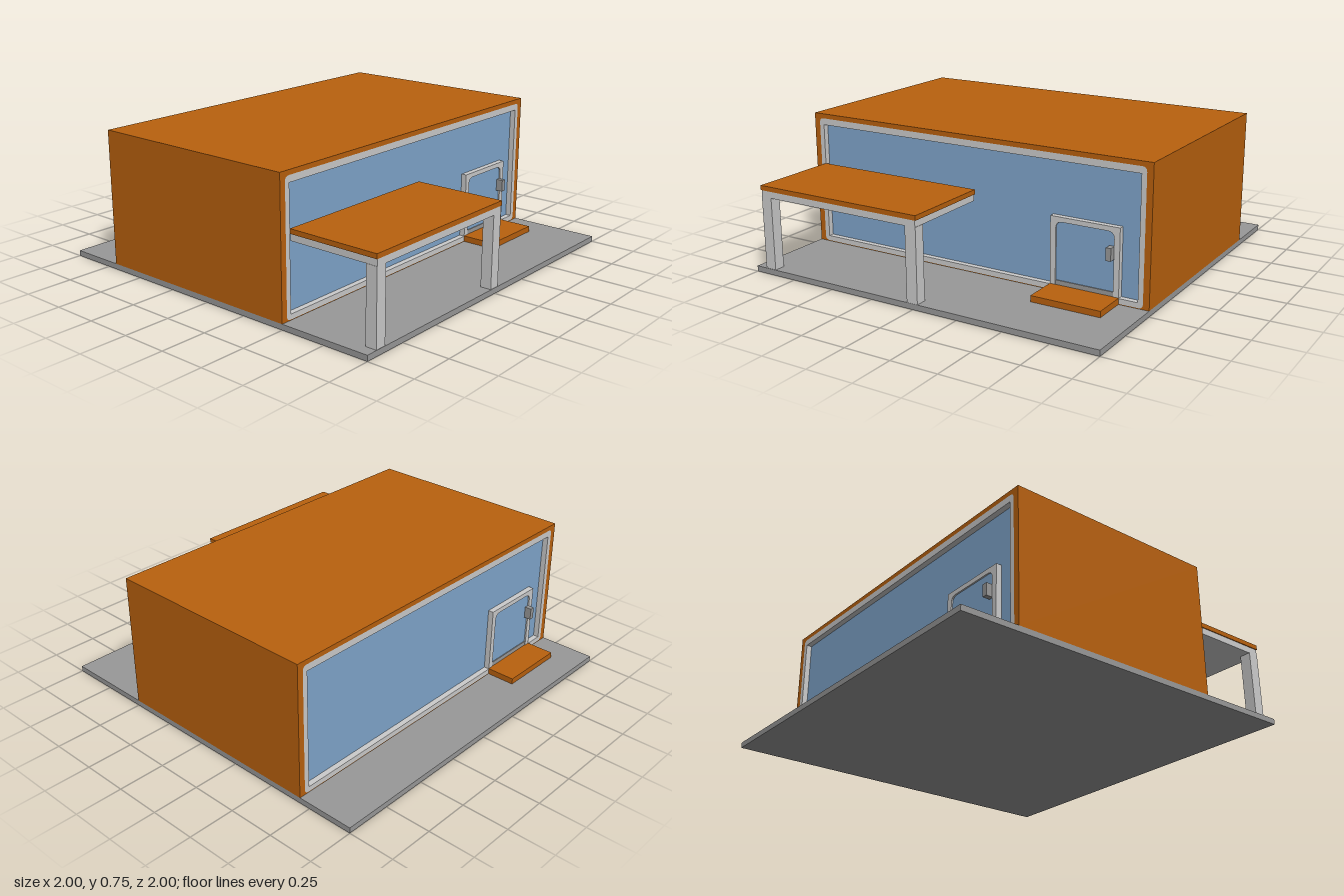
import * as THREE from 'three';

const mat = (name, color) => Object.assign(new THREE.MeshStandardMaterial({ color }), { name });

// Rounded rectangle outline; rb = bottom corner radius, rt = top corner radius
function outline(C, x0, x1, y0, y1, rb = 0, rt = rb) {
  const s = new C();
  s.moveTo(x0 + rb, y0);
  s.lineTo(x1 - rb, y0);
  if (rb) s.quadraticCurveTo(x1, y0, x1, y0 + rb);
  s.lineTo(x1, y1 - rt);
  if (rt) s.quadraticCurveTo(x1, y1, x1 - rt, y1);
  s.lineTo(x0 + rt, y1);
  if (rt) s.quadraticCurveTo(x0, y1, x0, y1 - rt);
  s.lineTo(x0, y0 + rb);
  if (rb) s.quadraticCurveTo(x0, y0, x0 + rb, y0);
  return s;
}

export function createModel() {
  const orange = mat('orange cladding', 0xb9610e);
  const grey = mat('mid grey', 0x999999);
  const light = mat('light grey trim', 0xcccccc);
  const blue = mat('blue glass', 0x80a6cc);
  const model = new THREE.Group();
  model.name = 'pavilion';

  // Box given by its limits on each axis
  const box = (parent, name, m, x0, x1, y0, y1, z0, z1) => {
    const mesh = new THREE.Mesh(new THREE.BoxGeometry(x1 - x0, y1 - y0, z1 - z0), m);
    mesh.position.set((x0 + x1) / 2, (y0 + y1) / 2, (z0 + z1) / 2);
    mesh.name = name;
    parent.add(mesh);
  };
  // Ring made of an outer and an inner outline, extruded from z0 to z1
  const ring = (parent, name, m, outer, inner, z0, z1) => {
    const shape = outline(THREE.Shape, ...outer);
    shape.holes.push(outline(THREE.Path, ...inner));
    const geo = new THREE.ExtrudeGeometry(shape, { depth: z1 - z0, bevelEnabled: false, curveSegments: 5 });
    const mesh = new THREE.Mesh(geo, m);
    mesh.position.z = z0;
    mesh.name = name;
    parent.add(mesh);
  };

  box(model, 'baseSlab', grey, -1, 1, 0, 0.03, -1, 1);

  // Building shell, open at the front and back
  const opening = [-0.967, 0.967, 0.033, 0.725, 0.025];
  ring(model, 'shell', orange, [-1, 1, 0.03, 0.75], opening, -0.69, 0.5);

  // Glazed facade with its door, built facing +z
  const facade = (name, z, stepDepth) => {
    const g = new THREE.Group();
    g.name = name;
    ring(g, 'windowFrame', light, opening, [-0.94, 0.94, 0.06, 0.69], z - 0.03, z);
    box(g, 'windowGlass', blue, -0.955, 0.955, 0.045, 0.71, z - 0.05, z - 0.03);
    ring(g, 'doorFrame', light, [0.465, 0.84, 0.035, 0.412], [0.495, 0.81, 0.06, 0.387, 0, 0.035], z - 0.03, z);
    box(g, 'doorGlass', blue, 0.48, 0.825, 0.05, 0.4, z - 0.025, z - 0.008);
    box(g, 'doorSill', grey, 0.495, 0.81, 0.06, 0.085, z - 0.02, z - 0.003);
    box(g, 'doorHandle', grey, 0.783, 0.81, 0.25, 0.315, z - 0.005, z + 0.033);
    box(g, 'doorStep', orange, 0.465, 0.84, 0.03, 0.062, z - 0.002, z + stepDepth);
    model.add(g);
    return g;
  };
  facade('frontFacade', 0.5, 0.187);
  facade('backFacade', 0.69, 0.155).rotation.y = Math.PI;

  // Porch canopy
  const canopy = new THREE.Group();
  canopy.name = 'canopy';
  box(canopy, 'canopyRoof', orange, -0.94, 0.03, 0.45, 0.475, 0.5, 1);
  box(canopy, 'canopySoffit', light, -0.935, 0.025, 0.415, 0.45, 0.5, 0.998);
  for (const x of [-0.937, -0.035]) box(canopy, 'canopyPost', light, x, x + 0.062, 0.03, 0.416, 0.938, 0.998);
  model.add(canopy);

  return model;
}
